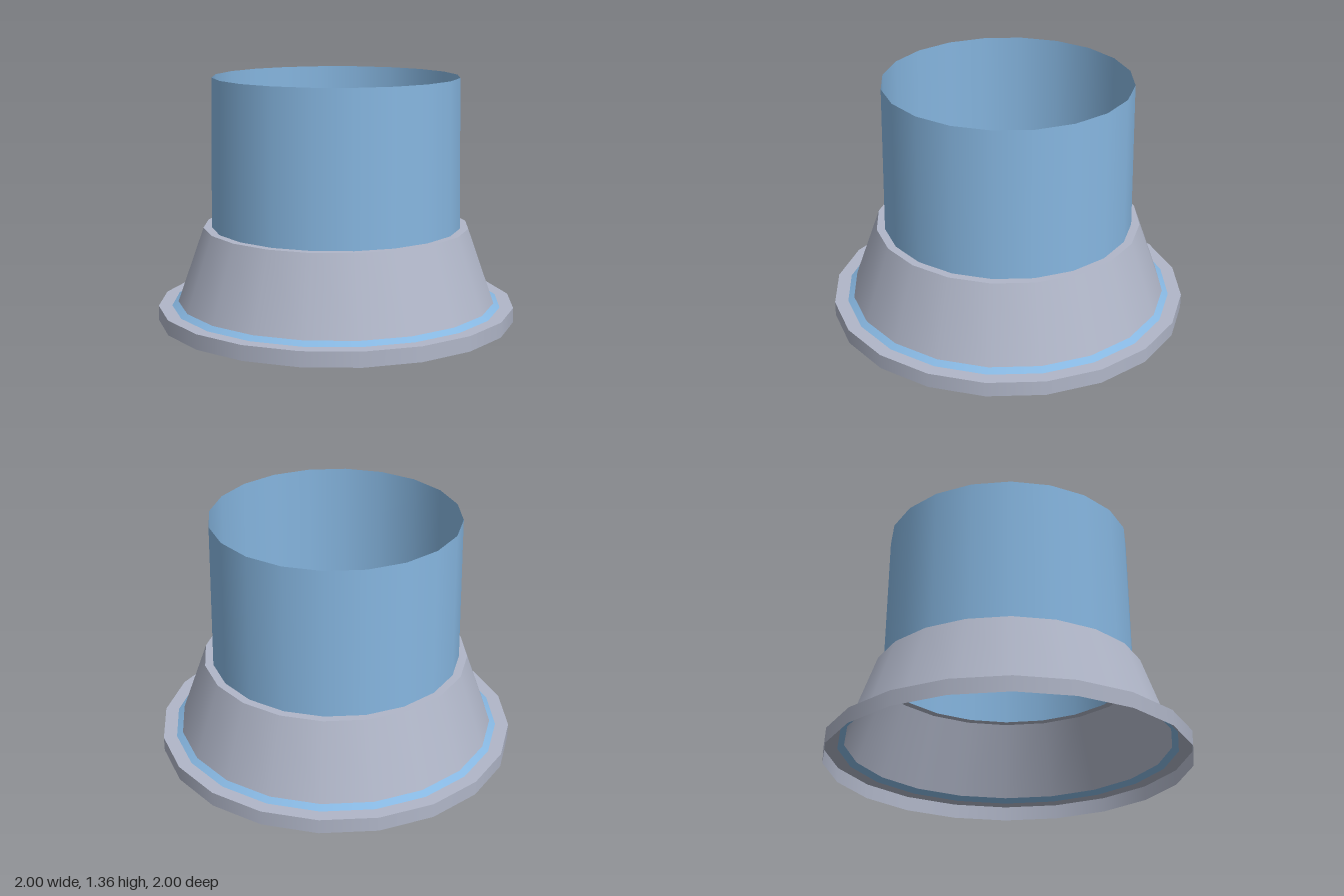
import * as THREE from 'three';

const SIDES = 20;

export function createModel() {
  const model = new THREE.Group();
  model.name = 'flangedCollar';

  const grey = new THREE.MeshStandardMaterial({ color: 0xb0b6c8, side: THREE.DoubleSide });
  grey.name = 'pale grey';
  const blue = new THREE.MeshStandardMaterial({ color: 0x86b6e0, side: THREE.DoubleSide });
  blue.name = 'light blue';

  // One open band of revolution between two [radius, height] points;
  // separate bands keep the creases between them sharp.
  const band = (name, material, from, to) => {
    const profile = [new THREE.Vector2(...from), new THREE.Vector2(...to)];
    const mesh = new THREE.Mesh(new THREE.LatheGeometry(profile, SIDES), material);
    mesh.name = name;
    model.add(mesh);
  };

  // Base
  band('baseRim', grey, [1, 0], [1, 0.083]);
  band('baseFlange', grey, [1, 0.083], [0.925, 0.083]);
  band('blueBevel', blue, [0.925, 0.083], [0.89, 0.105]);

  // Tapered skirt with its narrow top lip
  band('skirt', grey, [0.89, 0.105], [0.743, 0.522]);
  band('skirtLip', grey, [0.743, 0.522], [0.697, 0.522]);

  // Open tube, slightly narrower at the top
  band('tube', blue, [0.697, 0.522], [0.685, 1.355]);

  return model;
}
